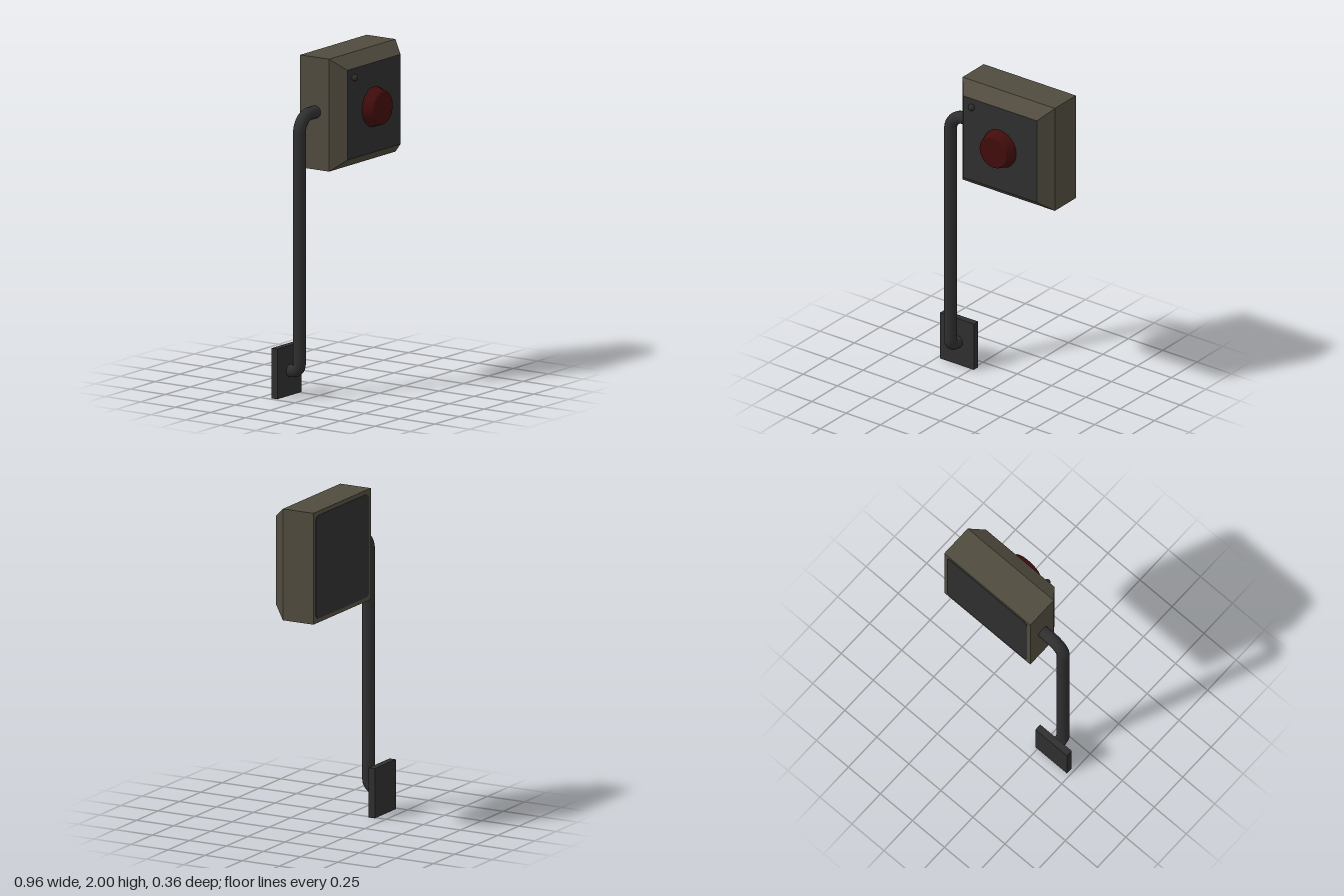
import * as THREE from 'three';

const material = (name, color) => {
  const m = new THREE.MeshStandardMaterial({ color });
  m.name = name;
  return m;
};

export function createModel() {
  const model = new THREE.Group();
  const olive = material('olive housing', 0x504b3e);
  const dark = material('dark metal', 0x2f2f2f);
  const red = material('dark red', 0x420c0c);

  const add = (name, geometry, mat, x = 0, y = 0, z = 0) => {
    const mesh = new THREE.Mesh(geometry, mat);
    mesh.name = name;
    mesh.position.set(x, y, z);
    model.add(mesh);
    return mesh;
  };

  const cx = 0.144, cy = 1.666; // middle of the housing

  // Housing: square rings from back to front, the last one drawn in
  const rings = [[0.336, -0.18], [0.336, 0.026], [0.268, 0.11]].map(([h, z]) =>
    [[-1, -1], [1, -1], [1, 1], [-1, 1]].map(([x, y]) => [x * h, y * h, z]));
  const points = [];
  const quad = (a, b, c, d) => points.push(...a, ...b, ...c, ...a, ...c, ...d);
  for (let r = 0; r < 2; r++) {
    for (let i = 0; i < 4; i++) {
      const j = (i + 1) % 4;
      quad(rings[r][i], rings[r][j], rings[r + 1][j], rings[r + 1][i]);
    }
  }
  quad(rings[0][3], rings[0][2], rings[0][1], rings[0][0]);
  const shell = new THREE.BufferGeometry();
  shell.setAttribute('position', new THREE.Float32BufferAttribute(points, 3));
  shell.computeVertexNormals();
  add('housing', shell, olive, cx, cy);

  // Front panel closes the housing
  add('frontPanel', new THREE.BoxGeometry(0.536, 0.536, 0.006), dark, cx, cy, 0.107);

  // Back panel with rounded corners
  const h = 0.311, r = 0.035;
  const outline = new THREE.Shape();
  outline.absarc(h - r, h - r, r, 0, Math.PI / 2);
  outline.absarc(-h + r, h - r, r, Math.PI / 2, Math.PI);
  outline.absarc(-h + r, -h + r, r, Math.PI, Math.PI * 1.5);
  outline.absarc(h - r, -h + r, r, Math.PI * 1.5, Math.PI * 2);
  add('backPanel', new THREE.ExtrudeGeometry(outline, { depth: 0.004, bevelEnabled: false }),
    dark, cx, cy, -0.183);

  // Dark rounded inlay under the housing
  const inlay = add('bottomInlay', new THREE.CylinderGeometry(1, 1, 0.004, 24), dark, cx, 1.33, -0.04);
  inlay.scale.set(0.16, 1, 0.055);

  // Push button: tapered with a softened rim
  const profile = [[0.12, 0], [0.102, 0.058], [0.098, 0.066], [0.09, 0.069], [0, 0.069]]
    .map(([x, y]) => new THREE.Vector2(x, y));
  add('pushButton', new THREE.LatheGeometry(profile, 24), red, 0.142, 1.67, 0.11)
    .rotation.x = Math.PI / 2;

  // Small indicator knob
  add('indicatorKnob', new THREE.CapsuleGeometry(0.02, 0.02, 6, 12), dark, -0.06, 1.88, 0.107)
    .rotation.x = Math.PI / 2;

  // Bent support pipe from the wall plate up and into the housing side
  const v = (x, y, z) => new THREE.Vector3(x, y, z);
  const px = -0.353, pz = -0.072, low = 0.15, high = 1.675, k = 0.45;
  const bend = 0.1, foot = 0.045;
  const path = new THREE.CurvePath();
  path.add(new THREE.LineCurve3(v(px, low, -0.15), v(px, low, pz - foot)));
  path.add(new THREE.CubicBezierCurve3(v(px, low, pz - foot), v(px, low, pz - foot * k),
    v(px, low + foot * k, pz), v(px, low + foot, pz)));
  path.add(new THREE.LineCurve3(v(px, low + foot, pz), v(px, high - bend, pz)));
  path.add(new THREE.CubicBezierCurve3(v(px, high - bend, pz), v(px, high - bend * k, pz),
    v(px + bend * k, high, pz), v(px + bend, high, pz)));
  path.add(new THREE.LineCurve3(v(px + bend, high, pz), v(-0.17, high, pz)));
  add('supportPipe', new THREE.TubeGeometry(path, 160, 0.038, 16), dark);

  // Mounting plate
  add('mountingPlate', new THREE.BoxGeometry(0.246, 0.3, 0.042), dark, -0.357, 0.15, -0.161);

  return model;
}
